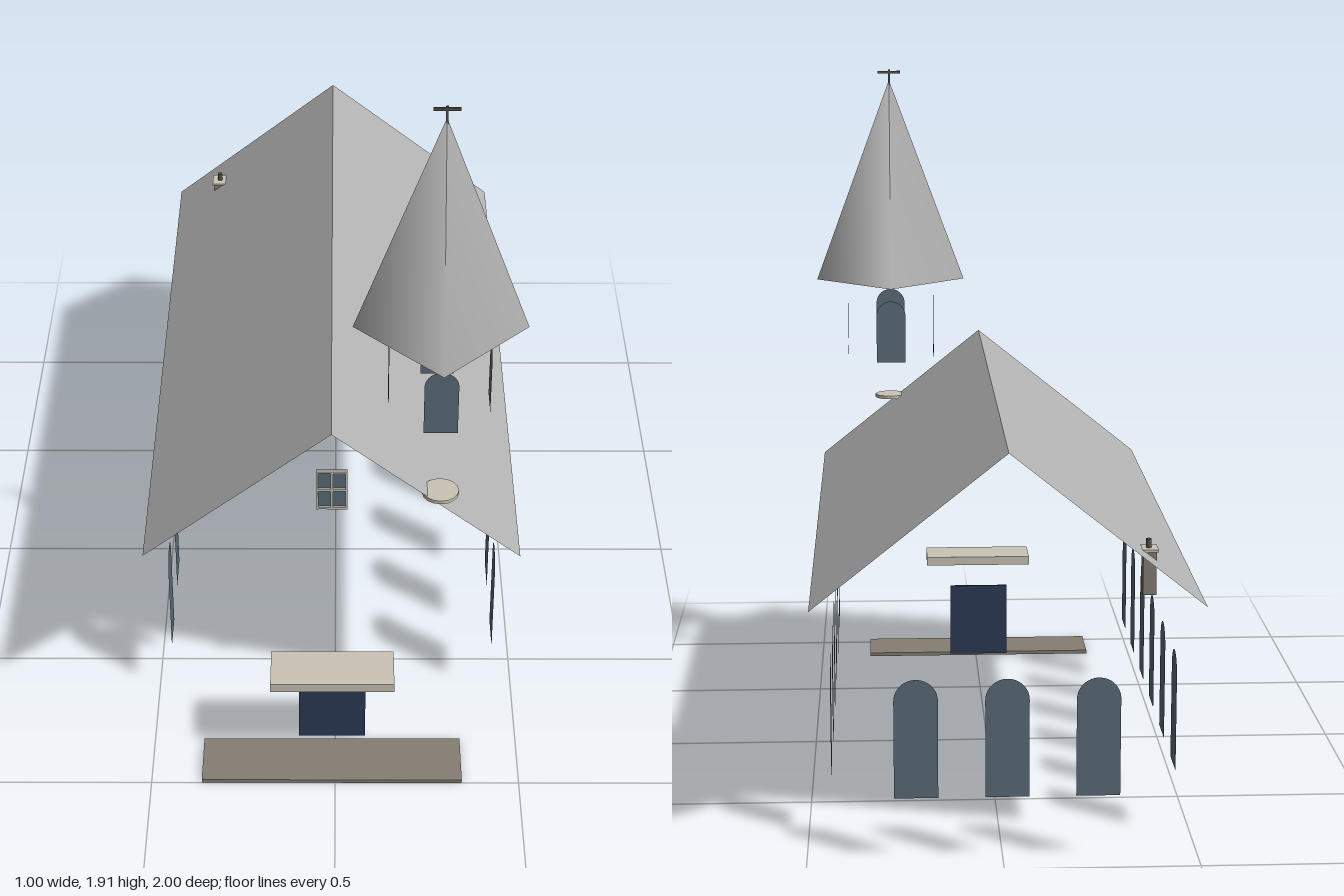
import * as THREE from 'three';

const mat = (name, color) => {
  const m = new THREE.MeshStandardMaterial({ color, side: THREE.DoubleSide });
  m.name = name;
  return m;
};

export function createModel() {
  const model = new THREE.Group();
  model.name = 'chapel';
  const slate = mat('slateGrey', 0xb2b2b2);
  const glass = mat('blueGreyGlass', 0x5b6c79);
  const cream = mat('creamStone', 0xcac5b5);
  const stone = mat('brownStone', 0x857e74);
  const navy = mat('navyDoor', 0x2c3a55);
  const dark = mat('darkMetal', 0x55534f);

  const add = (name, geo, material, x = 0, y = 0, z = 0, ry = 0) => {
    const mesh = new THREE.Mesh(geo, material);
    mesh.name = name;
    mesh.position.set(x, y, z);
    mesh.rotation.y = ry;
    model.add(mesh);
    return mesh;
  };
  // Box given by its lower and upper bounds on each axis
  const box = (name, material, [x0, x1], [y0, y1], [z0, z1]) =>
    add(name, new THREE.BoxGeometry(x1 - x0, y1 - y0, z1 - z0), material,
      (x0 + x1) / 2, (y0 + y1) / 2, (z0 + z1) / 2);
  // Round-headed window pane standing on its base line
  const archGeo = (w, h) => {
    const r = w / 2, s = new THREE.Shape();
    s.moveTo(-r, 0);
    s.lineTo(r, 0);
    s.lineTo(r, h - r);
    s.absarc(0, h - r, r, 0, Math.PI, false);
    s.closePath();
    return new THREE.ShapeGeometry(s, 16);
  };

  const cx = -0.01;

  // Gable roof: two thin sheets meeting at the ridge
  const half = 0.495, rise = 0.395, slope = Math.hypot(half, rise);
  for (const side of [-1, 1]) {
    const geo = new THREE.PlaneGeometry(slope, 1.86);
    geo.rotateX(-Math.PI / 2);
    geo.rotateZ(-side * Math.atan2(rise, half));
    add(side < 0 ? 'roofRight' : 'roofLeft', geo, slate, cx + side * half / 2, 1.075 - rise / 2, -0.07);
  }

  // Nave windows: six along each side, three at the back
  const tall = archGeo(0.112, 0.312);
  for (let i = 0; i < 6; i++)
    for (const side of [-1, 1])
      add('sideWindow', tall, glass, cx + side * 0.449, 0.174, 0.585 - i * 0.261, side * Math.PI / 2);
  for (const i of [-1, 0, 1])
    add('backWindow', tall, glass, cx + i * 0.231, 0.174, -0.95, Math.PI);

  // Bell tower: four openings under a four-sided spire
  const tx = 0.27, tz = 0.66, opening = archGeo(0.088, 0.188);
  for (let i = 0; i < 4; i++) {
    const a = i * Math.PI / 2;
    add('towerWindow', opening, glass, tx + Math.sin(a) * 0.132, 1.031, tz + Math.cos(a) * 0.132, a);
  }
  add('spire', new THREE.ConeGeometry(0.226, 0.61, 4, 1, true), slate, tx, 1.575, tz);
  box('finialPost', dark, [tx - 0.003, tx + 0.003], [1.86, 1.912], [tz - 0.003, tz + 0.003]);
  box('finialBar', dark, [tx - 0.034, tx + 0.034], [1.9, 1.908], [tz - 0.003, tz + 0.003]);

  // Flat round disc on the tower front
  add('towerDisc', new THREE.CylinderGeometry(0.048, 0.048, 0.01, 16), cream, 0.272, 0.872, 0.83);

  // Entrance: step, door and canopy
  box('step', stone, [-0.363, 0.345], [0, 0.011], [0.84, 1]);
  box('door', navy, [-0.1, 0.083], [0.011, 0.24], [0.82, 0.828]);
  box('canopy', cream, [-0.173, 0.158], [0.304, 0.331], [0.84, 0.97]);

  // Gable window: glass behind a cream frame with one cross of glazing bars
  box('gableGlass', glass, [-0.05, 0.032], [0.815, 0.937], [0.824, 0.828]);
  for (const x of [-0.05, -0.012, 0.026])
    box('gableBarUpright', cream, [x, x + 0.006], [0.815, 0.937], [0.828, 0.834]);
  for (const y of [0.815, 0.874, 0.931])
    box('gableBarLevel', cream, [-0.05, 0.032], [y, y + 0.006], [0.828, 0.8335]);

  // Chimney with cap and flue
  box('chimney', stone, [-0.388, -0.354], [0.684, 0.795], [-0.895, -0.85]);
  box('chimneyCap', cream, [-0.393, -0.349], [0.795, 0.802], [-0.9, -0.845]);
  add('chimneyFlue', new THREE.CylinderGeometry(0.007, 0.007, 0.024, 10), dark, -0.37, 0.813, -0.872);

  return model;
}
